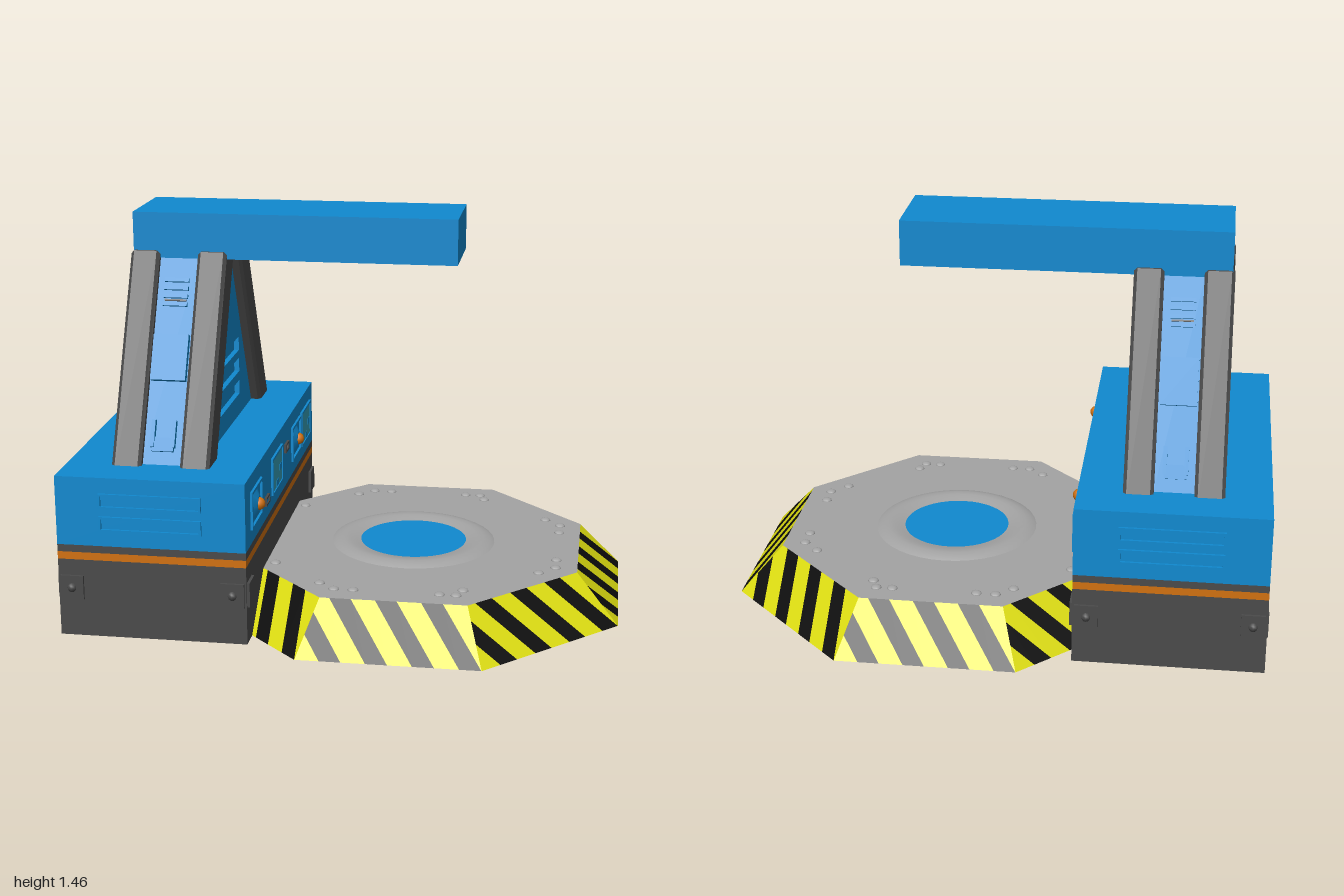
import * as THREE from 'three';

const material = (name, color) => {
  const m = new THREE.MeshStandardMaterial({ color, side: THREE.DoubleSide });
  m.name = name;
  return m;
};

export function createModel() {
  const blue = material('blue', 0x1089cf), dark = material('dark grey', 0x4a4a4a);
  const grey = material('light grey', 0xa3a3a3), yellow = material('yellow', 0xdcdc10);
  const black = material('black', 0x0c0c0c), orange = material('orange', 0xd0700f);
  const teal = material('teal glass', 0x36a0b8);
  const root = new THREE.Group();

  const add = (name, geo, mat, x = 0, y = 0, z = 0, ry = 0, parent = root) => {
    const m = new THREE.Mesh(geo, mat);
    m.name = name;
    m.position.set(x, y, z);
    m.rotation.y = ry;
    parent.add(m);
    return m;
  };
  const box = (w, h, d) => new THREE.BoxGeometry(w, h, d);
  const toShape = (pts) => new THREE.Shape(pts.map(([a, b]) => new THREE.Vector2(a, b)));
  const rect = (w, h, y = 0) => [[-w / 2, y - h / 2], [w / 2, y - h / 2], [w / 2, y + h / 2], [-w / 2, y + h / 2]];

  // Side profile drawn in z and y, extruded from x0 to x1
  const prism = (pts, x0, x1, holes = [], bevel = 0) => {
    const s = toShape(pts);
    s.holes = holes.map(toShape);
    const g = new THREE.ExtrudeGeometry(s, {
      depth: x1 - x0 - 2 * bevel, bevelEnabled: bevel > 0, bevelSize: bevel,
      bevelThickness: bevel, bevelOffset: -bevel, bevelSegments: 1,
    });
    return g.rotateY(Math.PI / 2).translate(x0 + bevel, 0, 0);
  };
  // Thin rectangular rim facing +z
  const rim = (w, h, t = 0.008, depth = 0.009) => {
    const s = toShape(rect(w, h));
    s.holes = [toShape(rect(w - 2 * t, h - 2 * t))];
    return new THREE.ExtrudeGeometry(s, { depth, bevelEnabled: false });
  };
  // Keeps the part of a polygon where f >= 0
  const clip = (poly, f) => {
    const out = [];
    poly.forEach((p, i) => {
      const q = poly[(i + 1) % poly.length], a = f(p), b = f(q);
      if (a >= 0) out.push(p);
      if ((a >= 0) !== (b >= 0)) out.push(p.map((c, k) => c + (q[k] - c) * a / (a - b)));
    });
    return out;
  };

  // Housing: open-bottomed shell in coloured bands
  const X0 = -0.995, X1 = -0.31, XC = (X0 + X1) / 2, HZ = 0.685;
  const bands = [['lowerHousing', 0, 0.29, dark], ['orangeBand', 0.29, 0.318, orange],
    ['darkBand', 0.318, 0.345, dark], ['upperHousing', 0.345, 0.6, blue]];
  for (const [name, y0, y1, mat] of bands) {
    const g = new THREE.CylinderGeometry(Math.SQRT1_2, Math.SQRT1_2, y1 - y0, 4, 1, true)
      .rotateY(Math.PI / 4).scale(X1 - X0, 1, 2 * HZ).toNonIndexed();
    g.computeVertexNormals();
    add(name, g, mat, XC, (y0 + y1) / 2, 0);
  }
  add('housingTop', new THREE.PlaneGeometry(X1 - X0, 2 * HZ).rotateX(-Math.PI / 2), blue, XC, 0.6, 0);

  // Vents on both ends, corner pads and bolts
  for (const s of [1, -1]) {
    const ry = s > 0 ? 0 : Math.PI;
    for (const y of [0.515, 0.43]) add('endVent', rim(0.37, 0.055), blue, XC, y, s * HZ, ry);
    for (const x of [-0.945, -0.36]) {
      add('endPad', box(0.085, 0.09, 0.02), dark, x, 0.185, s * HZ);
      add('endBolt', new THREE.SphereGeometry(0.018, 8, 6), dark, x, 0.185, s * (HZ + 0.005));
    }
    for (const x of [X0, X1]) {
      add('sidePad', box(x === X0 ? 0.008 : 0.02, 0.09, 0.085), dark, x, 0.185, s * 0.635);
    }
  }

  // Control panel on the +x face
  const panel = new THREE.Group();
  panel.name = 'controlPanel';
  panel.position.x = X1;
  panel.rotation.y = Math.PI / 2;
  root.add(panel);
  const onPanel = (name, geo, mat, z, y, out = 0) => add(name, geo, mat, -z, y, out, 0, panel);
  for (const z of [0.505, -0.295]) {
    onPanel('lampFrame', rim(0.185, 0.14, 0.01), blue, z, 0.47);
    const cone = new THREE.CylinderGeometry(0.03, 0.06, 0.014, 8).rotateX(Math.PI / 2);
    onPanel('lampBase', cone, blue, z, 0.47, 0.007);
    onPanel('lamp', new THREE.SphereGeometry(0.024, 12, 8), orange, z, 0.47, 0.012);
  }
  for (const z of [0.112, -0.512]) {
    onPanel('windowFrame', rim(0.202, 0.145, 0.009), blue, z, 0.47);
    onPanel('window', box(0.184, 0.127, 0.006), teal, z, 0.47, 0.002);
    for (const [dz, y, w, h] of [[-0.06, 0.465, 0.04, 0.025], [0, 0.42, 0.045, 0.025]]) {
      onPanel('windowMark', box(w, h, 0.002), blue, z + dz, y, 0.0055);
    }
  }
  onPanel('switchFrame', rim(0.065, 0.033, 0.007), dark, 0.312, 0.417);
  onPanel('switch', box(0.05, 0.02, 0.008), blue, 0.312, 0.417);
  onPanel('slotFrame', rim(0.068, 0.034, 0.008), dark, -0.087, 0.5);
  onPanel('slot', box(0.052, 0.018, 0.008), grey, -0.087, 0.5);

  // Tower: core and slotted side panels
  const trapezoid = [[-0.42, 0.6], [0.42, 0.6], [0.07, 1.29], [-0.07, 1.29]];
  const slots = [0.885, 0.8, 0.71].map((y) => rect(0.365, 0.054, y));
  add('towerCore', prism(trapezoid, -0.77, -0.53), blue);
  add('towerPanel', prism(trapezoid, -0.53, -0.51, slots), blue);
  add('towerPanel', prism(trapezoid, -0.79, -0.77, slots), blue);

  // Sloping legs, spine between them and its fittings
  const lean = Math.atan2(0.36, 0.715);
  for (const s of [1, -1]) {
    const leg = [[0.55, 0.58], [0.18, 1.315], [0.165, 1.315], [0.05, 1.29], [0.405, 0.58]].map(([z, y]) => [z * s, y]);
    for (const x of [-0.828, -0.578]) add('leg', prism(leg, x, x + 0.108, [], 0.012), dark);
    const spine = [[0.515, 0.59], [0.155, 1.305], [0.05, 1.29], [0.4, 0.59]].map(([z, y]) => [z * s, y]);
    add('spine', prism(spine, -0.725, -0.575), blue);

    const fit = (name, y, w, h, d, mat = blue, dx = 0) => {
      const z = 0.51 - (y - 0.6) * 0.36 / 0.715;
      const m = add(name, box(w, h, d), mat, -0.65 + dx, y, s * z);
      m.rotation.x = -s * lean;
    };
    fit('spineBlock', 0.95, 0.13, 0.17, 0.05);
    fit('lowerClasp', 0.665, 0.08, 0.05, 0.03);
    for (const dx of [-0.038, 0.038]) fit('claspSide', 0.7, 0.014, 0.1, 0.04, blue, dx);
    for (const y of [1.13, 1.157, 1.184, 1.211]) fit('spineLouvre', y, 0.09, 0.014, 0.025);
    fit('louvreGap', 1.144, 0.08, 0.006, 0.018, dark);
  }

  // Overhead arm
  add('arm', box(1.195, 0.168, 0.34), blue, -0.2225, 1.372, 0);

  // Platform: octagonal plate cut off where it meets the housing
  const PX = 0.205, TOP = 0.175, OUT = 0.79, INN = 0.635, T8 = Math.tan(Math.PI / 8);
  const octagon = Array.from({ length: 8 }, (_, k) => {
    const a = (k + 0.5) * Math.PI / 4, r = INN / Math.cos(Math.PI / 8);
    return [PX + r * Math.cos(a), r * Math.sin(a)];
  });
  const plate = toShape(clip(octagon, (p) => p[0] - X1));
  plate.holes.push(new THREE.Path().absarc(PX, 0, 0.22, 0, Math.PI * 2, true));
  add('platformTop', new THREE.ShapeGeometry(plate, 24).rotateX(-Math.PI / 2), grey, 0, TOP, 0);

  // Striped sloping skirt
  const tris = { yellow: [], black: [] };
  const period = 2 * OUT * T8 / 4, half = period * 0.235, slant = 0.15;
  for (let k = 0; k < 8; k++) {
    const c = Math.cos(k * Math.PI / 4), s = Math.sin(k * Math.PI / 4);
    const at = ([u, v]) => {
      const r = OUT - (OUT - INN) * v;
      return [PX + c * r + s * u, TOP * v, s * r - c * u];
    };
    const wo = OUT * T8, wi = INN * T8;
    const face = clip([[-wo, 0], [wo, 0], [wi, 1], [-wi, 1]], (p) => at(p)[0] - X1);
    for (let i = -2; i < 6; i++) {
      const mid = -wo + (0.19 / 0.25 + i) * period;
      for (const [key, a, b] of [['black', mid - half, mid + half], ['yellow', mid + half, mid + period - half]]) {
        const t = (p) => p[0] + slant * p[1];
        const poly = clip(clip(face, (p) => t(p) - a), (p) => b - t(p)).map(at);
        for (let j = 1; j < poly.length - 1; j++) tris[key].push(...poly[0], ...poly[j], ...poly[j + 1]);
      }
    }
  }
  for (const [key, mat] of [['yellow', yellow], ['black', black]]) {
    const g = new THREE.BufferGeometry();
    g.setAttribute('position', new THREE.Float32BufferAttribute(tris[key], 3));
    g.computeVertexNormals();
    add(key + 'SkirtStripes', g, mat);
  }

  // Raised ring and blue centre pad
  const ring = [[0.312, 0], [0.295, 0.009], [0.27, 0.015], [0.245, 0.014], [0.22, 0.008], [0.198, 0.003]]
    .map(([r, y]) => new THREE.Vector2(r, y));
  add('platformRing', new THREE.LatheGeometry(ring, 40), grey, PX, TOP, 0);
  add('centrePad', new THREE.CircleGeometry(0.215, 40).rotateX(-Math.PI / 2), blue, PX, TOP + 0.004, 0);

  // Rivets near the plate corners
  const rivets = [[0.36, 0.55], [0.42, 0.55], [0.44, 0.5], [0.7, 0.29], [0.76, 0.23], [0.76, 0.15],
    [0.05, 0.55], [-0.02, 0.55], [-0.08, 0.5], [-0.275, 0.325]];
  const dome = new THREE.SphereGeometry(0.02, 10, 4, 0, Math.PI * 2, 0, Math.PI / 2).scale(1, 0.5, 1);
  for (const [x, z] of rivets) for (const s of [1, -1]) add('rivet', dome, grey, x, TOP, s * z);

  return root;
}
